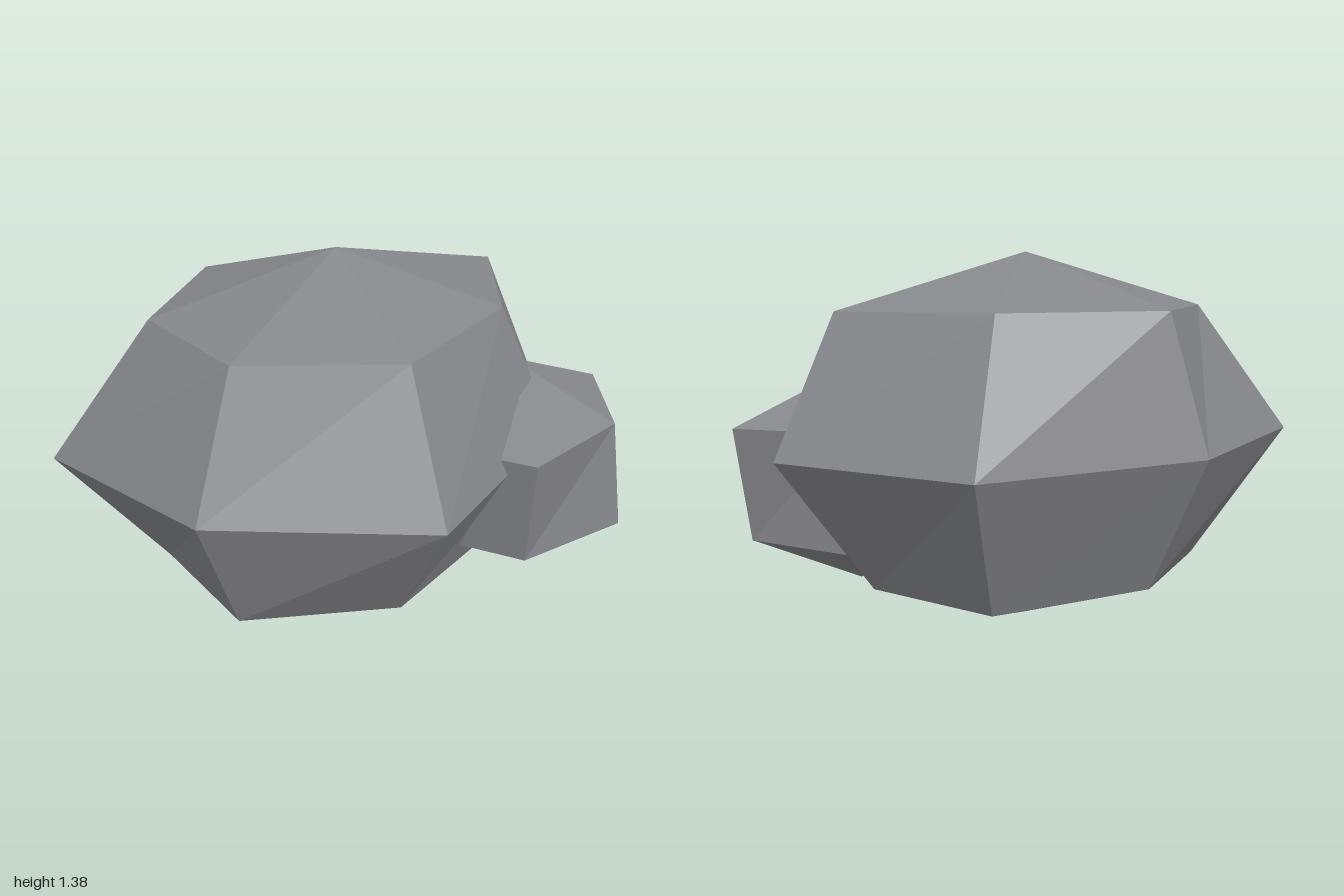
import * as THREE from 'three';

// Faceted boulder: top apex, rings of [x, z] corners (counter-clockwise seen from above), bottom apex
function boulder(name, material, top, rings, bottom) {
  const pos = [];
  const tri = (...corners) => corners.forEach((c) => pos.push(...c));
  const loops = rings.map(([y, pts]) => pts.map(([x, z]) => [x, y, z]));
  const n = loops[0].length;
  const last = loops[loops.length - 1];
  for (let i = 0; i < n; i++) {
    const j = (i + 1) % n;
    tri(top, loops[0][i], loops[0][j]);
    for (let k = 0; k < loops.length - 1; k++) {
      const up = loops[k], low = loops[k + 1];
      tri(up[i], low[i], up[j]);
      tri(up[j], low[i], low[j]);
    }
    tri(bottom, last[j], last[i]);
  }
  const geometry = new THREE.BufferGeometry();
  geometry.setAttribute('position', new THREE.Float32BufferAttribute(pos, 3));
  geometry.computeVertexNormals();
  const mesh = new THREE.Mesh(geometry, material);
  mesh.name = name;
  return mesh;
}

export function createModel() {
  const group = new THREE.Group();
  group.name = 'rocks';
  const stone = new THREE.MeshStandardMaterial({ color: 0x85868a, flatShading: true });
  stone.name = 'grey stone';

  // Seven-sided main rock
  group.add(boulder('largeRock', stone, [-0.02, 1.38, -0.05], [
    [1.18, [[0.76, -0.05], [0.40, -0.48], [-0.19, -0.66], [-0.65, -0.31], [-0.65, 0.20], [-0.19, 0.55], [0.40, 0.38]]],
    [0.69, [[0.99, -0.05], [0.64, -0.73], [-0.23, -0.82], [-1.00, -0.45], [-0.86, 0.28], [-0.25, 0.81], [0.56, 0.53]]],
    [0.20, [[0.63, -0.05], [0.455, -0.54], [-0.17, -0.60], [-0.64, -0.31], [-0.67, 0.21], [-0.17, 0.51], [0.40, 0.37]]],
  ], [-0.02, 0, -0.05]));

  // Six-sided small rock leaning into the main one
  group.add(boulder('smallRock', stone, [0.47, 0.96, 0.37], [
    [0.75, [[0.97, 0.37], [0.69, 0.03], [0.22, 0.0], [0.02, 0.37], [0.22, 0.76], [0.69, 0.71]]],
    [0.33, [[0.91, 0.37], [0.72, -0.01], [0.23, 0.02], [0.08, 0.37], [0.25, 0.71], [0.72, 0.76]]],
  ], [0.47, 0.12, 0.37]));

  return group;
}
